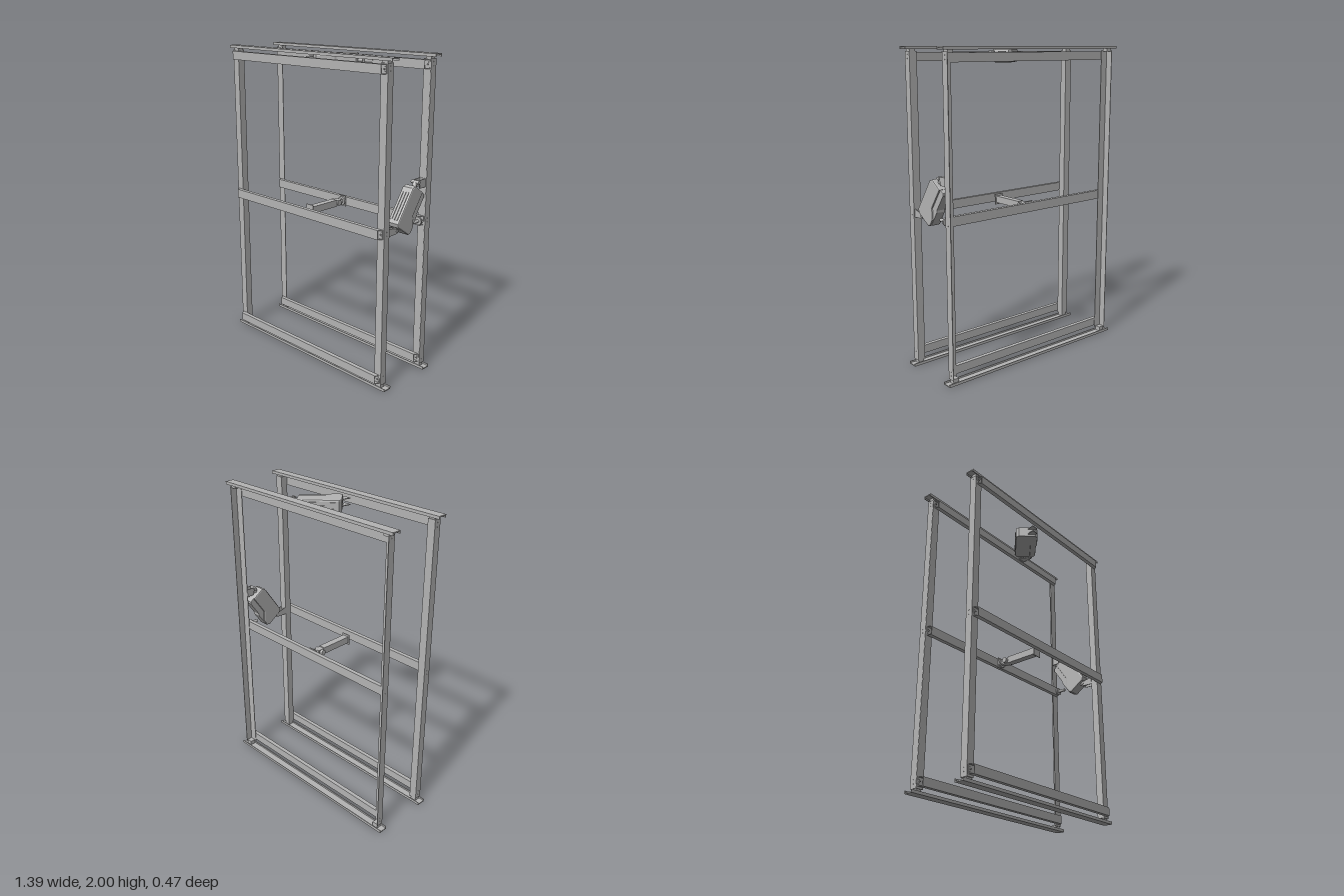
import * as THREE from 'three';

const grey = new THREE.MeshStandardMaterial({ color: 0xb4b4b4 });
grey.name = 'steelGrey';
const sheet = new THREE.MeshStandardMaterial({ color: 0xb0b0b0, side: THREE.DoubleSide });
sheet.name = 'sheetGrey';

function add(parent, name, geometry, x = 0, y = 0, z = 0, material = grey) {
  const mesh = new THREE.Mesh(geometry, material);
  mesh.name = name;
  mesh.position.set(x, y, z);
  parent.add(mesh);
  return mesh;
}
const box = (w, h, d) => new THREE.BoxGeometry(w, h, d);

// Solid prism over an outline, centred in depth
function prism(points, depth, bevel = 0) {
  const shape = new THREE.Shape(points.map(([x, y]) => new THREE.Vector2(x, y)));
  const g = new THREE.ExtrudeGeometry(shape, {
    depth: depth - 2 * bevel, bevelEnabled: bevel > 0, bevelSize: bevel,
    bevelOffset: -bevel, bevelThickness: bevel, bevelSegments: 2,
  });
  return g.translate(0, 0, bevel - depth / 2);
}

// Cylinder running between two points
function rod(parent, name, a, b, radius) {
  const from = new THREE.Vector3(...a), to = new THREE.Vector3(...b);
  const dir = to.clone().sub(from);
  const mesh = add(parent, name, new THREE.CylinderGeometry(radius, radius, dir.length(), 16));
  mesh.position.copy(from).add(to).multiplyScalar(0.5);
  mesh.quaternion.setFromUnitVectors(new THREE.Vector3(0, 1, 0), dir.normalize());
  return mesh;
}

// Thin hollow rail with mitred open ends; its back wall lies at z = 0
function rail(height) {
  const depth = 0.027, long = 0.655, short = 0.637, h = height / 2;
  const g = new THREE.Group();
  g.name = 'rail';
  add(g, 'railBackWall', box(2 * long, height, 0.003), 0, 0, 0.0015);
  add(g, 'railFrontWall', box(2 * short, height, 0.003), 0, 0, depth - 0.0015);
  for (const s of [-1, 1]) {
    const flange = prism([[-long, 0], [long, 0], [short, -depth], [-short, -depth]], 0.003);
    flange.rotateX(-Math.PI / 2);
    add(g, 'railFlange', flange, 0, s * (h - 0.0015), 0);
    rod(g, 'railBolt', [s * 0.643, 0, 0], [s * 0.643, 0, 0.012], 0.004);
    for (const y of [-0.013, 0.013]) {
      rod(g, 'railScrew', [s * 0.645, y, 0], [s * 0.645, y, 0.006], 0.003);
    }
  }
  return g;
}

// Shallow channel with its web on top and flanges hanging down
function trackChannel() {
  const g = new THREE.Group();
  g.name = 'track';
  add(g, 'trackWeb', box(1.39, 0.007, 0.06), 0, -0.0035, 0);
  for (const s of [-1, 1]) {
    add(g, 'trackFlange', box(1.39, 0.018, 0.005), 0, -0.009, s * 0.0275);
    for (const z of [-0.014, 0.014]) {
      rod(g, 'trackScrew', [s * 0.672, -0.002, z], [s * 0.672, 0.0, z], 0.005);
    }
  }
  return g;
}

function frame(name, z, angled) {
  const g = new THREE.Group();
  g.name = name;
  for (const s of [-1, 1]) {
    // Uprights: closed section in front, angle section at the back
    if (angled) {
      add(g, 'uprightWeb', box(0.004, 1.94, 0.047), s * 0.661, 1, 0);
      add(g, 'uprightFlange', box(0.052, 1.94, 0.004), s * 0.635, 1, 0.0225);
    } else {
      add(g, 'upright', box(0.051, 1.94, 0.047), s * 0.6375, 1, 0);
    }
    for (const y of [0.022, 1.978]) add(g, 'uprightFoot', box(0.038, 0.03, 0.036), s * 0.638, y, 0);
    for (const y of [0.07, 1, 1.94]) {
      for (const d of [-0.013, 0.013]) {
        rod(g, 'uprightScrew', [s * 0.66, y + d, 0], [s * 0.665, y + d, 0], 0.003);
      }
    }
  }
  for (const [y, h] of [[0.07, 0.054], [1, 0.058], [1.938, 0.054]]) {
    const r = rail(h);
    r.position.set(0, y, 0.024);
    g.add(r);
  }
  const top = trackChannel(), bottom = trackChannel();
  top.position.set(0, 2, -0.002);
  bottom.position.set(0, 0, -0.002);
  bottom.rotation.x = Math.PI;
  g.add(top, bottom);
  g.position.z = z;
  return g;
}

// Drive housing lying in the local xy plane, long axis along x
function housing() {
  const g = new THREE.Group();
  g.name = 'driveHousing';
  add(g, 'housingBody', prism([
    [-0.138, 0.055], [-0.122, 0.075], [0.11, 0.075], [0.132, 0.058], [0.132, -0.032],
    [-0.02, -0.032], [-0.03, -0.042], [-0.075, -0.075], [-0.122, -0.075], [-0.138, -0.06],
  ], 0.078, 0.008));
  add(g, 'housingStep', prism([
    [-0.12, -0.02], [0.13, -0.02], [0.13, -0.062], [0.118, -0.071], [0.0, -0.071],
    [-0.012, -0.078], [-0.12, -0.078],
  ], 0.06, 0.004));
  for (const z of [-0.02, 0, 0.02]) add(g, 'housingRib', box(0.18, 0.006, 0.009), -0.01, 0.076, z);
  return g;
}

export function createModel() {
  const model = new THREE.Group();
  model.name = 'doubleFrame';
  model.add(frame('frontFrame', 0.181, false), frame('backFrame', -0.202, true));

  // Upper drive, flat between the top rails
  const upper = new THREE.Group();
  upper.name = 'upperDrive';
  upper.rotation.x = -Math.PI / 2;
  upper.position.y = 1.942;
  const upperBody = housing();
  upperBody.position.set(0.086, 0, 0);
  upperBody.rotation.z = 0.72;
  upper.add(upperBody);
  for (const z of [-0.02, 0.02]) {
    add(upper, 'upperBracketPlate', prism([
      [0.187, 0.15], [0.243, 0.15], [0.243, 0.075], [0.232, 0.058], [0.215, 0.07], [0.212, 0.1], [0.187, 0.13],
    ], 0.005), 0, 0, z);
    add(upper, 'upperMountPlate', prism([[-0.025, -0.152], [0.025, -0.152], [0.015, -0.1], [-0.015, -0.1]], 0.005), 0, 0, z);
  }
  add(upper, 'upperBracketBase', box(0.056, 0.004, 0.055), 0.215, 0.15, 0);
  rod(upper, 'upperPin', [0.229, 0.082, -0.028], [0.229, 0.082, 0.028], 0.009);
  rod(upper, 'upperRod', [0.16, 0.06, 0], [0.229, 0.082, 0], 0.013);
  model.add(upper);

  // Side drive, upright between the right-hand posts
  const side = new THREE.Group();
  side.name = 'sideDrive';
  side.rotation.y = Math.PI / 2;
  side.position.x = 0.635;
  const sideBody = housing();
  sideBody.position.set(0.035, 1.1, 0);
  sideBody.rotation.z = 0.97;
  side.add(sideBody);
  for (const z of [-0.02, 0.02]) {
    add(side, 'sideBracketPlate', prism([
      [0.178, 1.265], [0.178, 1.212], [0.125, 1.212], [0.122, 1.235], [0.1, 1.25], [0.105, 1.262],
    ], 0.005), 0, 0, z);
    add(side, 'sideMountPlate', prism([
      [-0.156, 0.975], [-0.156, 1.025], [-0.085, 1.01], [-0.06, 0.99], [-0.08, 0.978],
    ], 0.005), 0, 0, z);
  }
  add(side, 'sideBracketBase', box(0.004, 0.053, 0.055), 0.177, 1.238, 0);
  rod(side, 'sideUpperPin', [0.108, 1.252, -0.028], [0.108, 1.252, 0.028], 0.011);
  rod(side, 'sideUpperRod', [0.075, 1.19, 0], [0.108, 1.252, 0], 0.014);
  rod(side, 'sideLowerPin', [-0.08, 0.995, -0.028], [-0.08, 0.995, 0.028], 0.009);
  rod(side, 'sideLowerRod', [-0.08, 0.995, 0], [-0.02, 1.04, 0], 0.013);
  // Ball joint resting on the back post
  rod(side, 'stopStem', [0.09, 1, 0], [0.15, 1, 0], 0.01);
  rod(side, 'stopFoot', [0.142, 1, 0], [0.152, 1, 0], 0.026);
  model.add(side);

  // Middle spacer bar joining the two centre rails
  const spacer = new THREE.Group();
  spacer.name = 'spacer';
  spacer.position.y = 1;
  add(spacer, 'spacerBar', box(0.044, 0.044, 0.225), 0, 0, 0.042);
  add(spacer, 'spacerFrontPlate', box(0.06, 0.07, 0.006), 0, 0, 0.154);
  add(spacer, 'spacerBackPlate', box(0.06, 0.07, 0.006), 0, 0, -0.149);
  rod(spacer, 'spacerCollar', [-0.038, 0, -0.09], [0.03, 0, -0.09], 0.018);
  add(spacer, 'spacerHead', box(0.04, 0.036, 0.05), 0, 0, -0.092);
  add(spacer, 'spacerBall', new THREE.SphereGeometry(0.02, 20, 14), 0, 0, -0.124);
  rod(spacer, 'spacerFlange', [0, 0, -0.147], [0, 0, -0.136], 0.03);
  model.add(spacer);

  return model;
}
